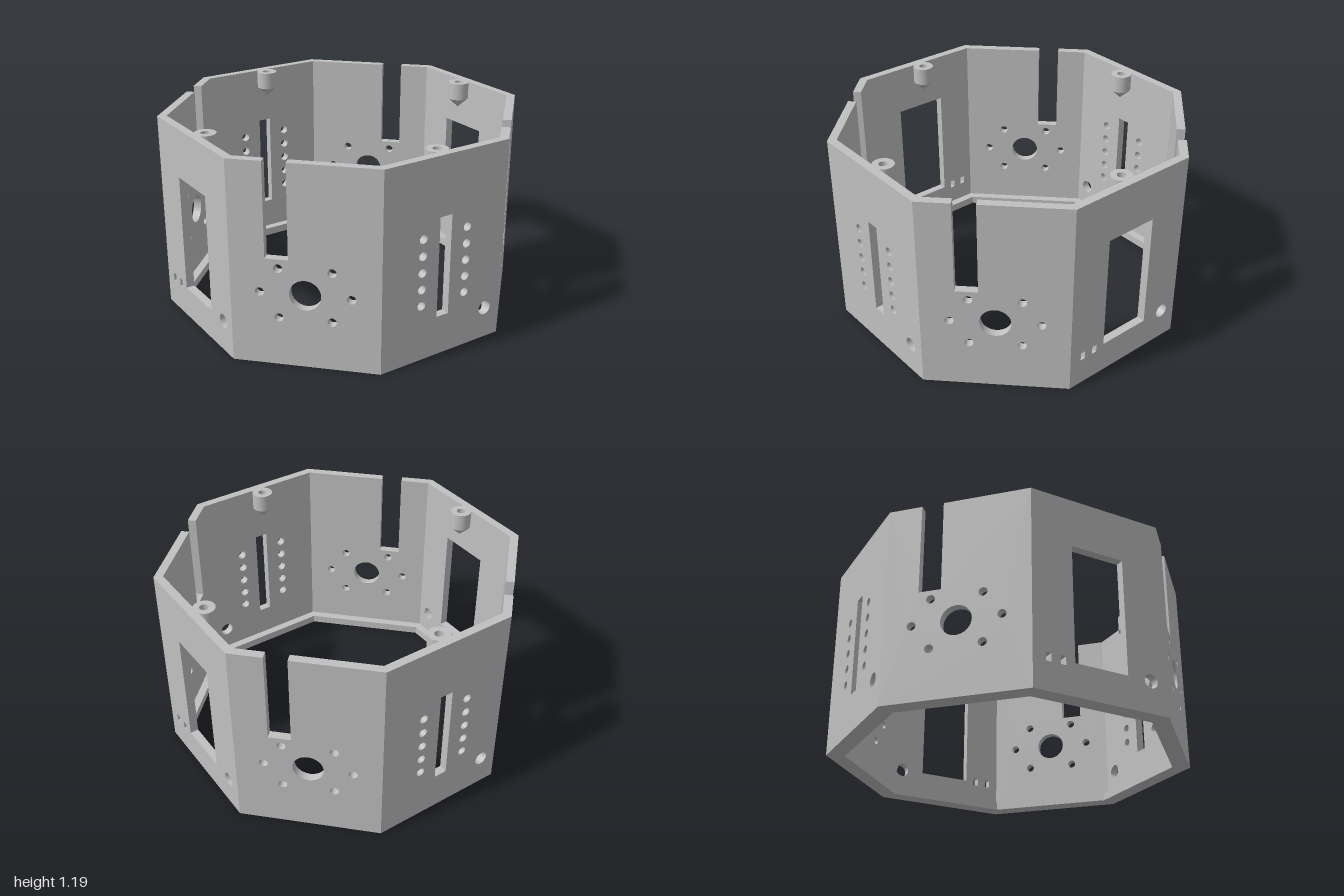
import * as THREE from 'three';

const HEIGHT = 1.19, OUTER = 1, INNER = 0.95, LIP = 0.9, TAN = Math.tan(Math.PI / 8);

const shellGrey = new THREE.MeshStandardMaterial({ color: 0xc0c0c0 });
shellGrey.name = 'shell grey';

function rectHole(x0, x1, y0, y1) {
  return new THREE.Path([[x0, y0], [x0, y1], [x1, y1], [x1, y0]].map(p => new THREE.Vector2(...p)));
}

function roundHole(x, y, r) {
  return new THREE.Path().absarc(x, y, r, 0, Math.PI * 2, true);
}

// One wall panel facing +z, with ends mitred to meet its neighbours
function panel(holes, notch) {
  const w = OUTER * TAN;
  const pts = [[-w, 0], [w, 0], [w, HEIGHT]];
  if (notch) {
    const [a, b, y] = notch;
    pts.push([b, HEIGHT], [b, y], [a, y], [a, HEIGHT]);
  }
  pts.push([-w, HEIGHT]);
  const shape = new THREE.Shape(pts.map(p => new THREE.Vector2(...p)));
  shape.holes.push(...holes);
  const geo = new THREE.ExtrudeGeometry(shape, { depth: OUTER - INNER, bevelEnabled: false, curveSegments: 16 });
  const pos = geo.attributes.position;
  for (let i = 0; i < pos.count; i++) {
    const x = pos.getX(i);
    if (Math.abs(x) > w - 1e-4 && pos.getZ(i) < 1e-4) pos.setX(i, Math.sign(x) * INNER * TAN);
  }
  geo.computeVertexNormals();
  geo.translate(0, 0, INNER);
  return geo;
}

// Front and back: central slot, two columns of holes, cable hole
function slotPanel() {
  const holes = [rectHole(-0.04, 0.04, 0.24, 0.84), roundHole(0.31, 0.19, 0.042)];
  for (const x of [-0.15, 0.15])
    for (let i = 0; i < 5; i++) holes.push(roundHole(x, 0.34 + 0.1 * i, 0.026));
  return panel(holes);
}

// Left and right: large window, two small ports, cable hole
function windowPanel() {
  return panel([
    rectHole(-0.163, 0.163, 0.19, 0.893),
    rectHole(-0.337, -0.305, 0.166, 0.216),
    rectHole(-0.25, -0.218, 0.166, 0.216),
    roundHole(0.31, 0.19, 0.042),
  ]);
}

// Diagonals: shaft hole ringed by screw holes, open notch at the top
function motorPanel() {
  const y = 0.44;
  const holes = [roundHole(0, y, 0.088)];
  for (const s of [-1, 1]) {
    holes.push(roundHole(s * 0.252, y, 0.025));
    for (const t of [-1, 1]) holes.push(roundHole(s * 0.147, y + t * 0.147, 0.025));
  }
  return panel(holes, [-0.218, -0.09, 0.64]);
}

function octagon(apothem, Type) {
  const r = apothem / Math.cos(Math.PI / 8), pts = [];
  for (let i = 0; i < 8; i++) {
    const a = (i + 0.5) * Math.PI / 4;
    pts.push(new THREE.Vector2(r * Math.cos(a), r * Math.sin(a)));
  }
  return new Type(pts);
}

export function createModel() {
  const model = new THREE.Group();
  model.name = 'octagonalHousing';
  const add = (name, geo, angle = 0) => {
    const mesh = new THREE.Mesh(geo, shellGrey);
    mesh.name = name;
    mesh.rotation.y = angle;
    model.add(mesh);
  };

  // Eight walls
  const slot = slotPanel(), win = windowPanel(), motor = motorPanel();
  for (let i = 0; i < 8; i++) {
    const angle = i * Math.PI / 4;
    if (i % 2) add('motorPanel', motor, angle);
    else if (i % 4) add('windowPanel', win, angle);
    else add('slotPanel', slot, angle);
  }

  // Inner lip around the foot
  const lipShape = octagon(INNER, THREE.Shape);
  lipShape.holes.push(octagon(LIP, THREE.Path));
  const lip = new THREE.ExtrudeGeometry(lipShape, { depth: 0.05, bevelEnabled: false });
  lip.rotateX(-Math.PI / 2);
  add('bottomLip', lip);

  // Screw posts with conical undersides and blind holes
  const profile = [[0, -0.165], [0.063, -0.105], [0.063, -0.105], [0.063, 0], [0.063, 0],
    [0.026, 0], [0.026, 0], [0.026, -0.1], [0.026, -0.1], [0, -0.1]];
  const post = new THREE.LatheGeometry(profile.map(p => new THREE.Vector2(...p)), 32);
  post.translate(0, HEIGHT, 0.9);
  for (let i = 0; i < 4; i++) add('screwPost', post, i * Math.PI / 2);

  return model;
}
